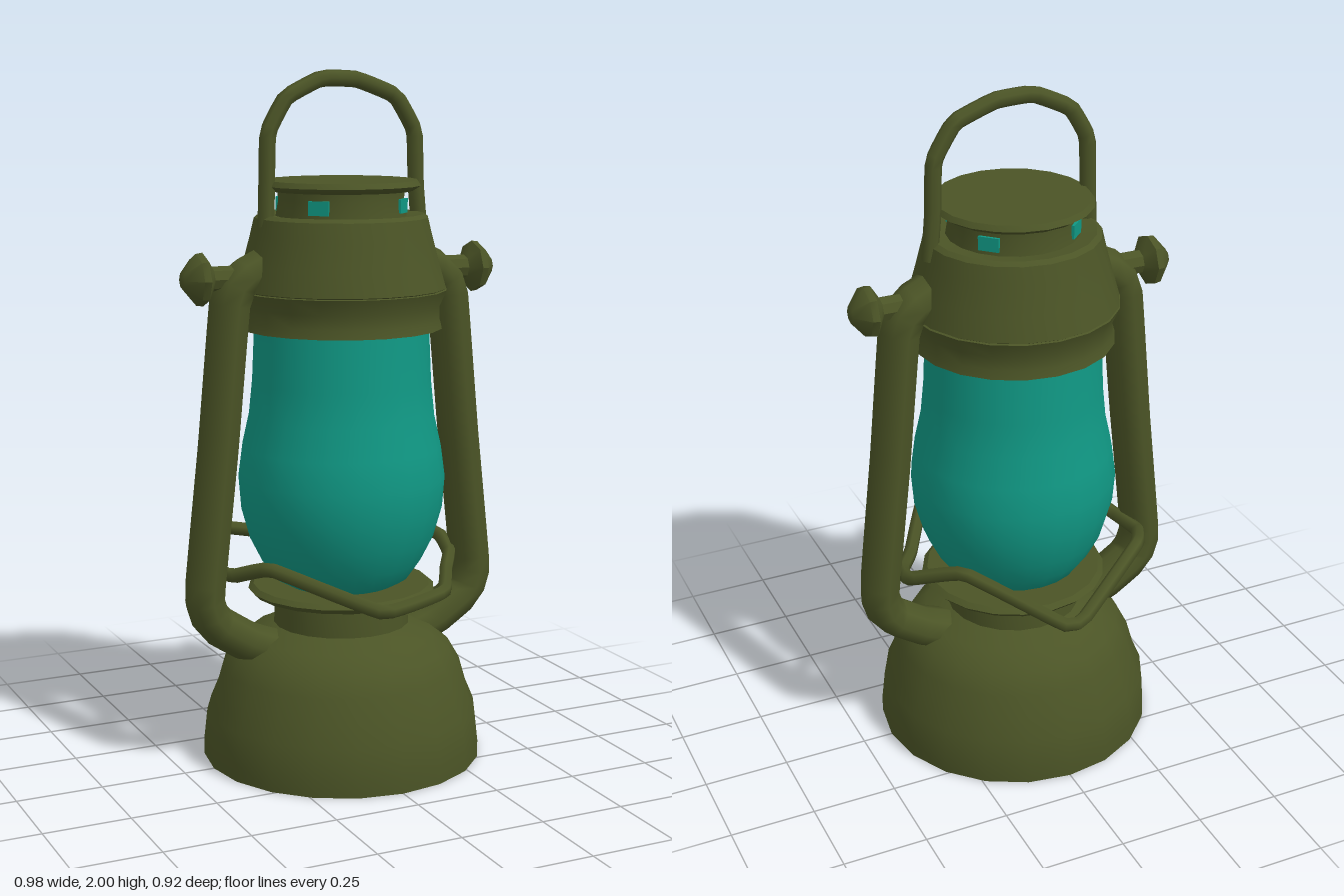
import * as THREE from 'three';
import { toCreasedNormals } from 'three/addons/utils/BufferGeometryUtils.js';

const paint = new THREE.MeshStandardMaterial({ color: 0x4b5426, side: THREE.DoubleSide });
paint.name = 'olive paint';
const teal = new THREE.MeshStandardMaterial({ color: 0x109884, side: THREE.DoubleSide });
teal.name = 'teal glass';

export function createModel() {
  const lantern = new THREE.Group();
  lantern.name = 'lantern';

  const add = (name, geometry, material = paint) => {
    const mesh = new THREE.Mesh(geometry, material);
    mesh.name = name;
    lantern.add(mesh);
    return mesh;
  };
  // Turned part from [radius, height] pairs, bottom to top
  const turned = (name, profile, material, segments = 20) => {
    const g = new THREE.LatheGeometry(profile.map(([r, y]) => new THREE.Vector2(r, y)), segments);
    return add(name, toCreasedNormals(g, 0.7), material);
  };
  // Tube through points, with rounded corners
  const rod = (name, points, radius, sides, steps, closed = false) => {
    const curve = new THREE.CatmullRomCurve3(
      points.map(p => new THREE.Vector3(...p)), closed, 'catmullrom', 0.15);
    return add(name, new THREE.TubeGeometry(curve, steps, radius, sides, closed));
  };

  // Fuel tank with its neck
  turned('fuelTank', [[0, 0], [0.41, 0], [0.41, 0.05], [0.4, 0.14], [0.375, 0.2], [0.355, 0.27],
    [0.32, 0.33], [0.27, 0.37], [0.2, 0.4], [0.195, 0.5]]);
  turned('burnerPlate', [[0, 0.49], [0.26, 0.49], [0.275, 0.505], [0.26, 0.518], [0, 0.518]]);

  // Globe
  turned('glassGlobe', [[0.16, 0.518], [0.2, 0.54], [0.235, 0.59], [0.27, 0.66], [0.295, 0.75],
    [0.302, 0.84], [0.29, 0.93], [0.27, 1.02], [0.26, 1.12], [0.252, 1.3]], teal, 24);

  // Hood, chimney and cap
  turned('hoodCollar', [[0.2, 1.29], [0.25, 1.27], [0.292, 1.275], [0.285, 1.3], [0.285, 1.34],
    [0.305, 1.385], [0.29, 1.39]]);
  turned('hood', [[0.27, 1.37], [0.303, 1.39], [0.283, 1.46], [0.262, 1.54], [0.25, 1.59],
    [0.235, 1.6], [0.17, 1.592]]);
  turned('chimney', [[0.19, 1.585], [0.18, 1.64], [0.185, 1.68]]);
  turned('cap', [[0, 1.665], [0.205, 1.665], [0.228, 1.68], [0.218, 1.695], [0, 1.695]]);

  // Vent openings around the chimney
  for (let i = 0; i < 4; i++) {
    const a = Math.PI / 4 + i * Math.PI / 2;
    const vent = add('chimneyVent', new THREE.BoxGeometry(0.06, 0.04, 0.008), teal);
    vent.position.set(Math.sin(a) * 0.185, 1.625, Math.cos(a) * 0.185);
    vent.rotation.y = a;
  }

  for (const s of [1, -1]) {
    // Hollow side arm from tank shoulder to hood
    const arm = rod('sideArm', [[s * 0.22, 0.34, 0], [s * 0.3, 0.37, 0], [s * 0.405, 0.44, 0],
      [s * 0.432, 0.52, 0], [s * 0.385, 0.95, 0], [s * 0.345, 1.36, 0],
      [s * 0.315, 1.42, 0], [s * 0.21, 1.47, 0]], 0.058, 8, 28);
    arm.scale.z = 1.28;

    // Pointed knob on the arm shoulder
    const knob = turned('armKnob', [[0, -0.1], [0.035, -0.09], [0.035, 0], [0.075, 0.025],
      [0.072, 0.045], [0.025, 0.085], [0, 0.09]], paint, 8);
    knob.rotation.z = -s * Math.PI / 2;
    knob.position.set(s * 0.4, 1.43, 0);
  }

  // Bent guard wire around the globe
  rod('guardWire', [[0.35, 0.57, 0.02], [0.28, 0.55, 0.13], [0.13, 0.565, 0.39], [-0.08, 0.545, 0.435],
    [-0.29, 0.62, 0.15], [-0.36, 0.58, 0.03], [-0.37, 0.59, -0.1], [-0.28, 0.65, -0.26],
    [-0.02, 0.565, -0.435], [0.04, 0.565, -0.435], [0.25, 0.66, -0.21], [0.37, 0.6, -0.08]],
    0.021, 6, 72, true);

  // Carrying handle
  rod('handle', [[-0.235, 1.52, 0], [-0.23, 1.68, 0], [-0.225, 1.83, 0], [-0.17, 1.925, 0], [-0.06, 1.978, 0],
    [0.05, 1.975, 0], [0.17, 1.93, 0], [0.232, 1.83, 0], [0.238, 1.68, 0], [0.25, 1.55, 0]],
    0.024, 7, 40);

  return lantern;
}
